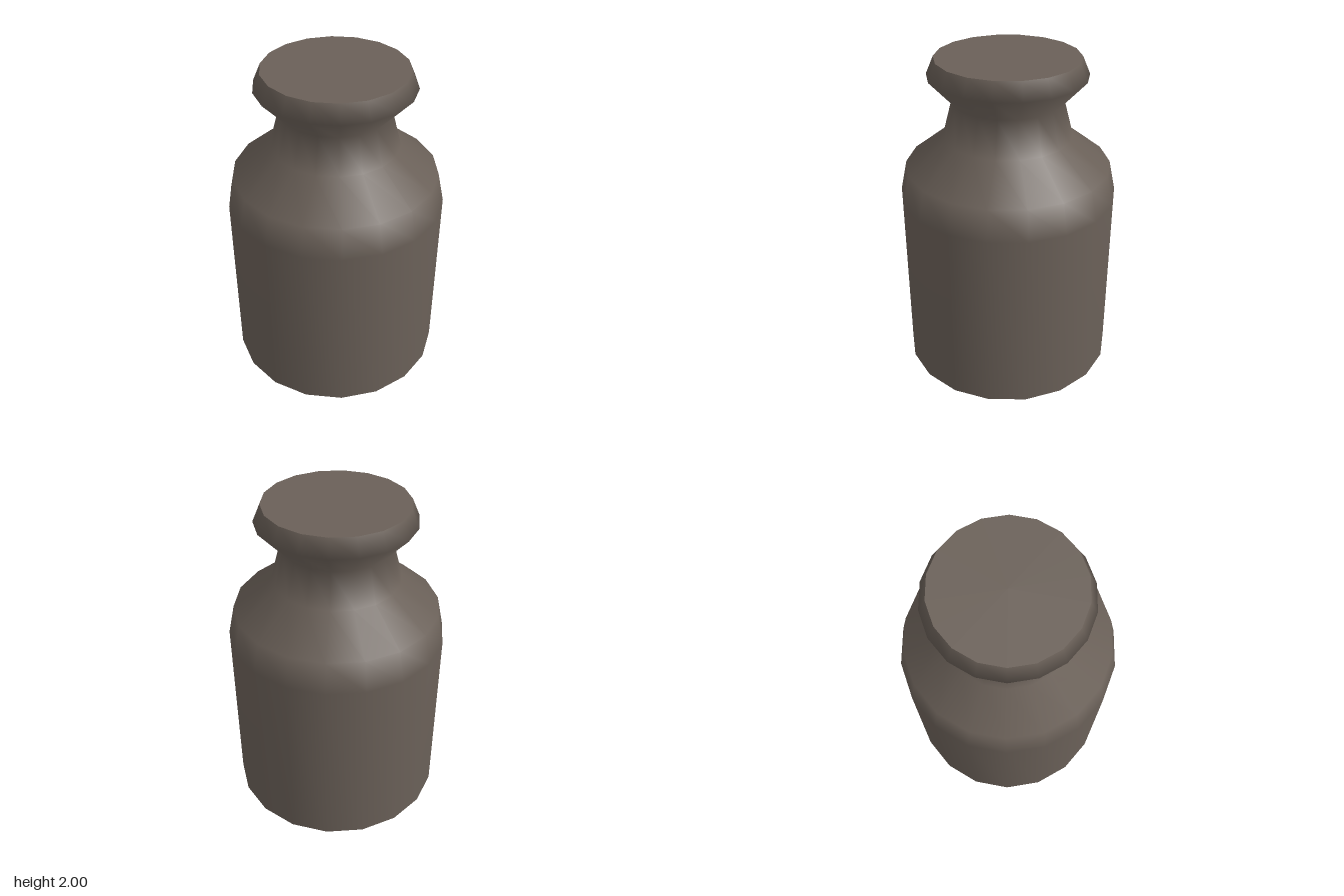
import * as THREE from 'three';

const SIDES = 18;

export function createModel() {
  const model = new THREE.Group();
  model.name = 'milkChurn';

  const metal = new THREE.MeshStandardMaterial({ color: 0x6a6058 });
  metal.name = 'dull grey-brown metal';

  const add = (name, geometry, y = 0) => {
    const mesh = new THREE.Mesh(geometry, metal);
    mesh.name = name;
    mesh.position.y = y;
    model.add(mesh);
  };

  // Turned wall: straight body, sloping shoulder, narrow neck, flared rim
  const profile = [
    [0.665, 0], [0.665, 1.15], [0.625, 1.335], [0.39, 1.52],
    [0.332, 1.74], [0.475, 1.895], [0.43, 2],
  ].map(([r, y]) => new THREE.Vector2(r, y));
  add('bodyShoulderNeckAndRim', new THREE.LatheGeometry(profile, SIDES, Math.PI / 2));

  // Flat discs closing both ends with a sharp edge
  add('lid', new THREE.CircleGeometry(0.43, SIDES).rotateX(-Math.PI / 2), 2);
  add('base', new THREE.CircleGeometry(0.665, SIDES).rotateX(Math.PI / 2));

  return model;
}
